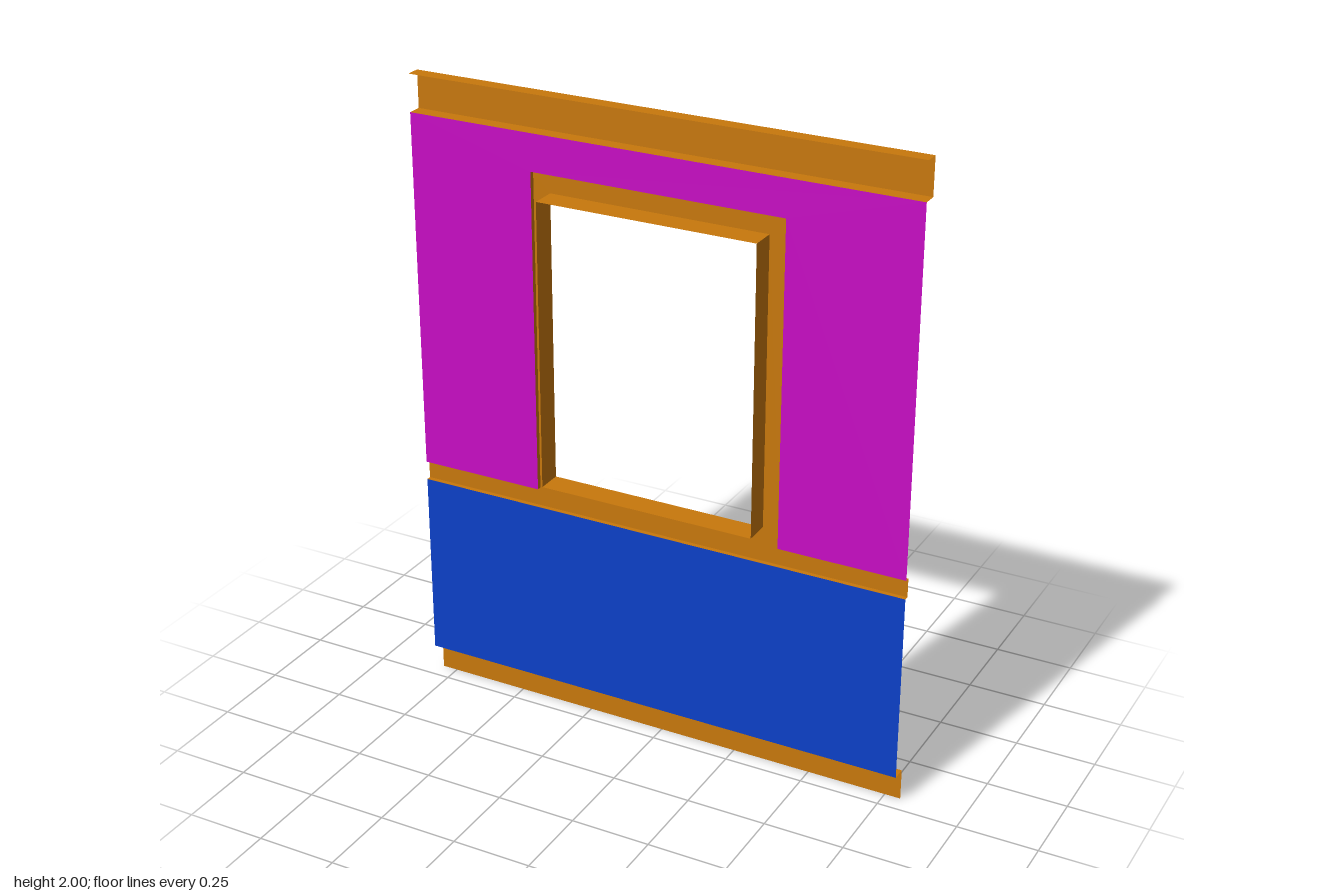
import * as THREE from 'three';

const W = 0.8;                                    // half width of the wall
const Z_WALL = -0.01, Z_RAIL = -0.025, Z_PLATE = -0.055, Z_FRONT = 0.055;

const paint = (color) => new THREE.MeshStandardMaterial({ color, side: THREE.DoubleSide, flatShading: true });
const wood = paint(0xc8780c), magenta = paint(0xc80cc4), blue = paint(0x0c40c8);

const vectors = (pts) => pts.map(([x, y]) => new THREE.Vector2(x, y));
const rect = (x, y0, y1) => [[-x, y0], [x, y0], [x, y1], [-x, y1]];

export function createModel() {
  const model = new THREE.Group();

  const add = (name, geometry, material) => {
    const mesh = new THREE.Mesh(geometry, material);
    mesh.name = name;
    model.add(mesh);
  };

  // Flat sheet facing the room (-z), with an optional hole
  const sheet = (name, outline, z, material, hole) => {
    const shape = new THREE.Shape(vectors(outline));
    if (hole) shape.holes.push(new THREE.Path(vectors(hole)));
    add(name, new THREE.ShapeGeometry(shape).translate(0, 0, z), material);
  };

  // Open ribbon: a path of 3D points swept along an offset
  const ribbon = (name, path, offset, material) => {
    const pos = [];
    for (let i = 0; i < path.length - 1; i++) {
      const a = path[i], b = path[i + 1];
      const c = b.map((v, k) => v + offset[k]), d = a.map((v, k) => v + offset[k]);
      pos.push(...a, ...b, ...c, ...a, ...c, ...d);
    }
    const g = new THREE.BufferGeometry();
    g.setAttribute('position', new THREE.Float32BufferAttribute(pos, 3));
    g.computeVertexNormals();
    add(name, g, material);
  };

  // Trim running the full width, from a [y, z] profile
  const trim = (name, profile) =>
    ribbon(name, profile.map(([y, z]) => [-W, y, z]), [2 * W, 0, 0], wood);

  // Upper edge of the rail, stepping up around the window casing
  const step = [[-W, 0.76], [-0.4, 0.76], [-0.4, 1.77], [0.4, 1.77], [0.4, 0.76], [W, 0.76]];
  const opening = rect(0.345, 0.81, 1.71);

  // Wall sheets
  sheet('lowerWall', rect(W, 0.1, 0.7), Z_WALL, blue);
  sheet('upperWall', [...step, [W, 1.885], [-W, 1.885]], Z_WALL, magenta);

  // Skirting and top trim
  trim('skirtingBoard', [[0.1, Z_WALL], [0.1, Z_PLATE], [0, Z_PLATE]]);
  trim('topTrim', [[2, Z_WALL], [2, Z_PLATE], [1.885, Z_PLATE], [1.885, Z_WALL]]);

  // Wall rail and window casing, joined in one face with shallow edges
  sheet('railAndCasing', [[-W, 0.7], ...step, [W, 0.7]], Z_RAIL, wood, opening);
  ribbon('casingEdge', step.map(([x, y]) => [x, y, Z_RAIL]), [0, 0, Z_WALL - Z_RAIL], wood);
  trim('railUnderside', [[0.7, Z_RAIL], [0.7, Z_WALL]]);

  // Deep lining of the window opening
  ribbon('windowLining', [...opening, opening[0]].map(([x, y]) => [x, y, Z_RAIL]),
    [0, 0, Z_FRONT - Z_RAIL], wood);

  return model;
}
